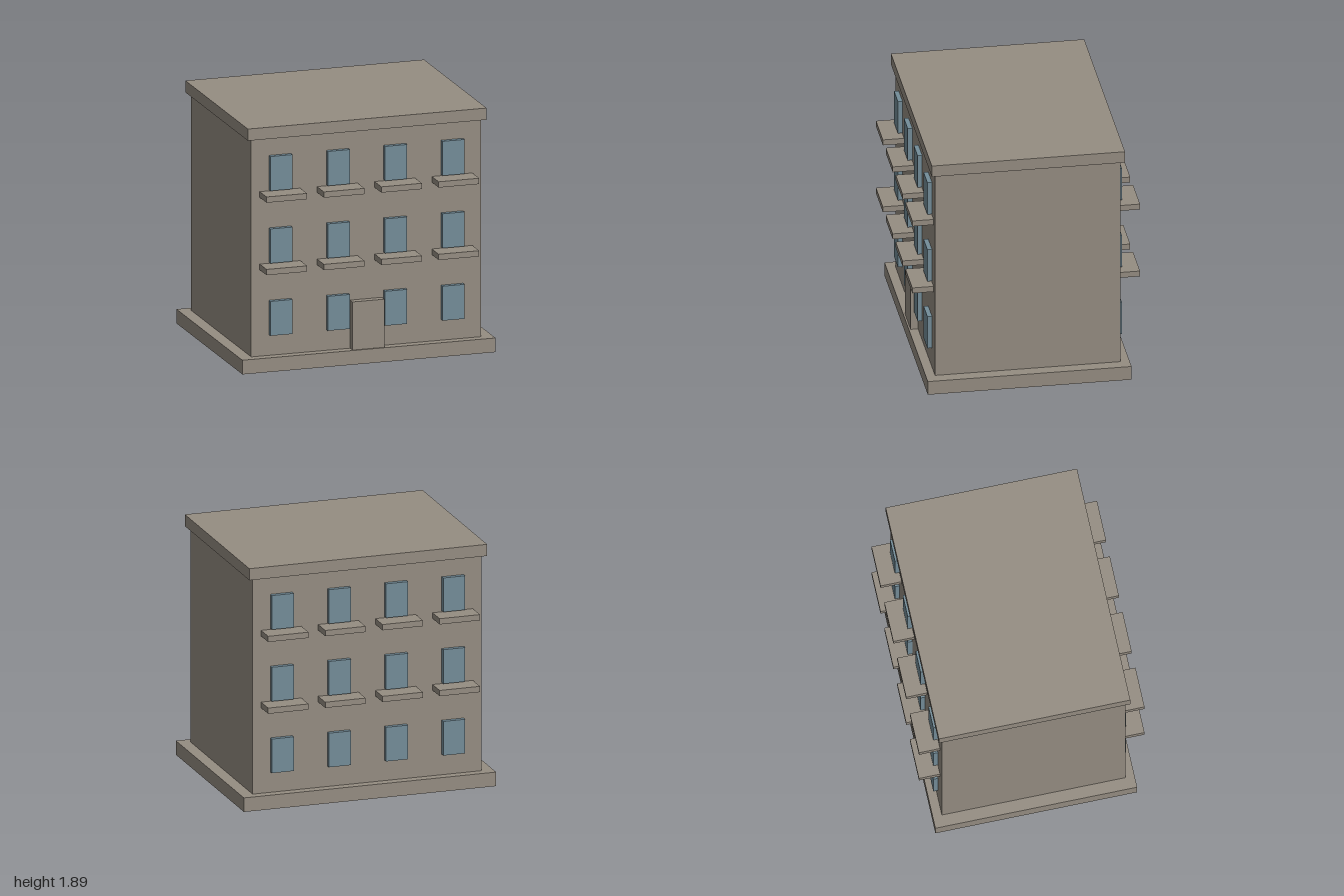
import * as THREE from 'three';

export function createModel() {
  const model = new THREE.Group();
  model.name = 'apartmentBlock';

  const stone = new THREE.MeshStandardMaterial({ color: 0x958d82 });
  stone.name = 'stone';
  const glass = new THREE.MeshStandardMaterial({ color: 0x748d99 });
  glass.name = 'blueGlass';

  // Box given by its lower and upper limits on each axis
  function box(name, material, [x0, x1], [y0, y1], [z0, z1], parent = model) {
    const mesh = new THREE.Mesh(new THREE.BoxGeometry(x1 - x0, y1 - y0, z1 - z0), material);
    mesh.position.set((x0 + x1) / 2, (y0 + y1) / 2, (z0 + z1) / 2);
    mesh.name = name;
    parent.add(mesh);
  }

  // Main masses
  box('plinth', stone, [-1, 1], [0, 0.11], [-0.773, 0.773]);
  box('walls', stone, [-0.907, 0.907], [0.11, 1.797], [-0.703, 0.703]);
  box('roofSlab', stone, [-0.943, 0.943], [1.797, 1.888], [-0.733, 0.733]);
  box('door', stone, [-0.126, 0.126], [0.11, 0.483], [0.703, 0.76]);

  // Windows and balcony slabs, the same on front and back
  const columns = [-0.68, -0.227, 0.227, 0.68];
  const floorHeight = 0.562;
  for (const side of ['front', 'back']) {
    const facade = new THREE.Group();
    facade.name = side + 'Facade';
    if (side === 'back') facade.rotation.y = Math.PI;
    for (let floor = 0; floor < 3; floor++) {
      const y = 0.27 + floor * floorHeight;
      for (const x of columns) {
        box('window', glass, [x - 0.087, x + 0.087], [y, y + 0.267], [0.703, 0.738], facade);
        if (floor > 0) {
          box('balcony', stone, [x - 0.16, x + 0.16], [y - 0.053, y - 0.008], [0.703, 0.864], facade);
        }
      }
    }
    model.add(facade);
  }

  return model;
}
